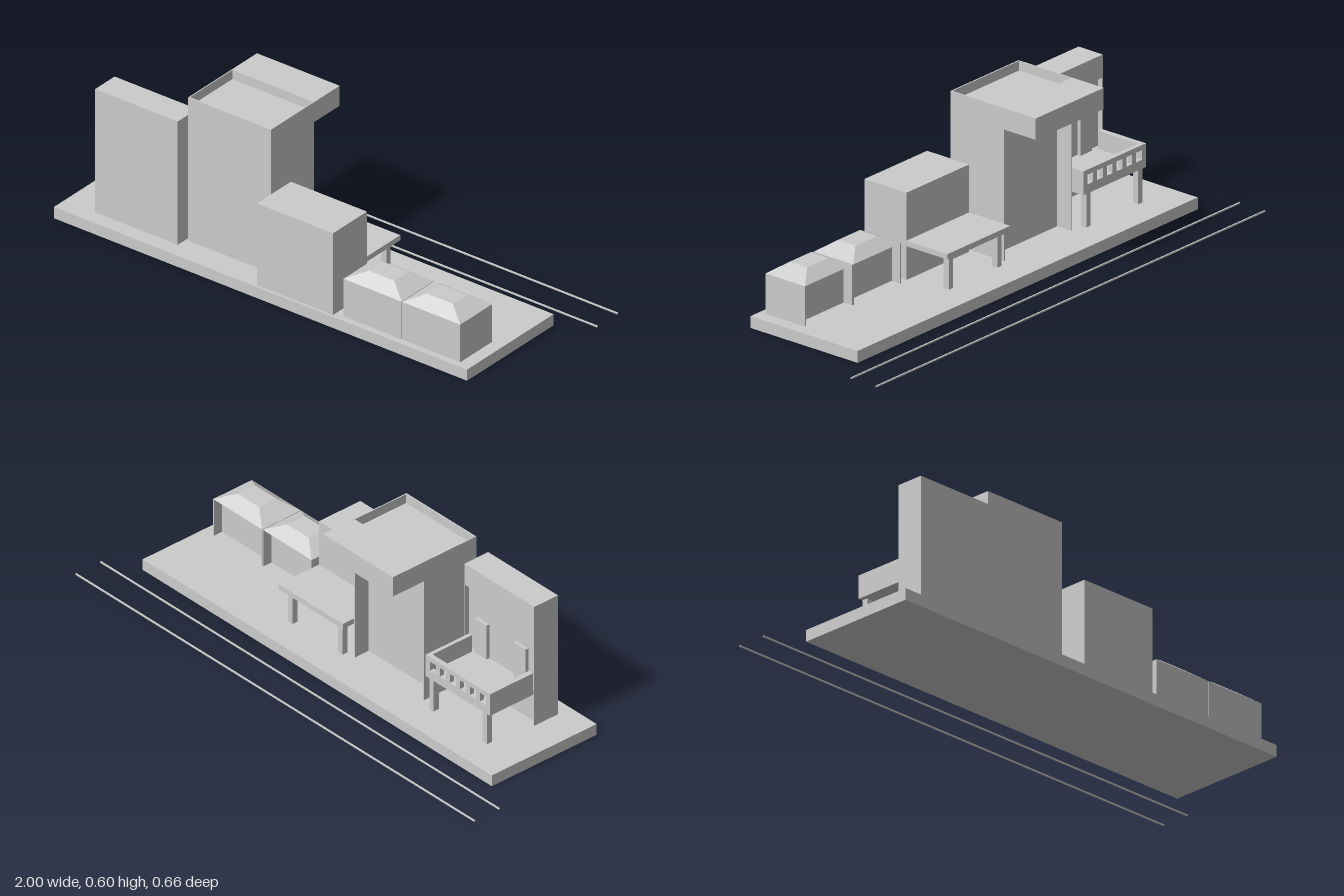
import * as THREE from 'three';

const grey = new THREE.MeshStandardMaterial({ color: 0xcccccc, flatShading: true });
const BASE = 0.043; // top of the platform
const THIN = 0.004; // wall thickness

export function createModel() {
  const root = new THREE.Group();
  root.name = 'stationStreet';

  const add = (name, geometry, parent = root) => {
    const mesh = new THREE.Mesh(geometry, grey);
    mesh.name = name;
    parent.add(mesh);
    return mesh;
  };
  // Box given by its limits on each axis
  const box = (name, [x0, x1], [y0, y1], [z0, z1], parent) => {
    const mesh = add(name, new THREE.BoxGeometry(x1 - x0, y1 - y0, z1 - z0), parent);
    mesh.position.set((x0 + x1) / 2, (y0 + y1) / 2, (z0 + z1) / 2);
    return mesh;
  };
  const group = (name) => {
    const g = new THREE.Group();
    g.name = name;
    root.add(g);
    return g;
  };
  // Pair of thin side walls framing a building
  const sideWalls = ([x0, x1], ys, zs, parent) => {
    box('rightWall', [x0, x0 + THIN], ys, zs, parent);
    box('leftWall', [x1 - THIN, x1], ys, zs, parent);
  };

  // Platform and the two rails behind it
  box('platform', [-0.875, 0.875], [0, BASE], [-0.14, 0.328]);
  for (const z of [-0.217, -0.327]) box('rail', [-1, 1], [0.002, 0.007], [z - 0.0025, z + 0.0025]);

  // Tall shop with a recessed back wall under a lintel
  const shop = group('tallShop');
  const shopX = [-0.745, -0.395];
  box('body', [-0.741, -0.399], [BASE, 0.435], [0.183, 0.271], shop);
  box('topBand', [-0.741, -0.399], [0.435, 0.518], [0.165, 0.271], shop);
  sideWalls(shopX, [BASE, 0.518], [0.165, 0.271], shop);
  for (const x of [-0.665, -0.47]) box('door', [x - 0.03, x + 0.03], [0.18, 0.32], [0.17, 0.184], shop);

  // Balcony with a pierced parapet
  const balcony = group('balcony');
  box('floor', [-0.74, -0.418], [0.165, 0.185], [-0.028, 0.183], balcony);
  box('rightParapet', [-0.74, -0.72], [0.185, 0.251], [-0.01, 0.165], balcony);
  box('leftParapet', [-0.432, -0.418], [0.185, 0.251], [-0.01, 0.165], balcony);
  const rect = (Kind, x0, x1, y0, y1) => {
    const r = new Kind();
    r.moveTo(x0, y0).lineTo(x1, y0).lineTo(x1, y1).lineTo(x0, y1).closePath();
    return r;
  };
  const panel = rect(THREE.Shape, -0.74, -0.418, 0.185, 0.251);
  for (let i = 0; i < 6; i++) {
    const x = -0.579 + (i - 2.5) * 0.05;
    panel.holes.push(rect(THREE.Path, x - 0.015, x + 0.015, 0.198, 0.233));
  }
  add('rearParapet', new THREE.ExtrudeGeometry(panel, { depth: 0.018, bevelEnabled: false }), balcony)
    .position.z = -0.028;

  // Tower with a sunken roof, a rear recess and an overhanging top
  const tower = group('tower');
  const towerX = [-0.385, -0.035], inner = [-0.381, -0.039];
  box('body', inner, [BASE, 0.56], [0.055, 0.222], tower);
  box('recessCeiling', inner, [0.518, 0.56], [-0.007, 0.055], tower);
  box('frontWall', inner, [BASE, 0.595], [0.222, 0.227], tower);
  sideWalls(towerX, [BASE, 0.595], [-0.007, 0.227], tower);
  box('overhang', towerX, [0.518, 0.595], [-0.145, -0.007], tower);

  // Middle shop with a canopy behind it
  box('middleShop', [-0.022, 0.3], [BASE, 0.358], [0.135, 0.319]);
  box('canopy', [-0.022, 0.3], [0.165, 0.185], [-0.045, 0.135]);

  // Posts under the balcony and the canopy
  for (const x of [-0.712, -0.446, 0.012, 0.262]) {
    box('post', [x - 0.011, x + 0.011], [BASE, 0.165], [-0.027, -0.004]);
  }

  // Two small houses with truncated hip roofs
  for (const x of [0.456, 0.704]) {
    const house = group('smallHouse');
    const xs = [x - 0.123, x + 0.123];
    box('body', [xs[0] + THIN, xs[1] - THIN], [BASE, 0.188], [0.168, 0.304], house);
    sideWalls(xs, [BASE, 0.188], [0.131, 0.304], house);
    const roof = new THREE.BoxGeometry(0.246, 0.034, 0.173);
    const p = roof.attributes.position;
    for (let i = 0; i < p.count; i++) {
      if (p.getY(i) > 0) p.setXYZ(i, Math.sign(p.getX(i)) * 0.055, p.getY(i), Math.sign(p.getZ(i)) * 0.0385);
    }
    roof.computeVertexNormals();
    add('roof', roof, house).position.set(x, 0.205, 0.2175);
  }

  return root;
}
